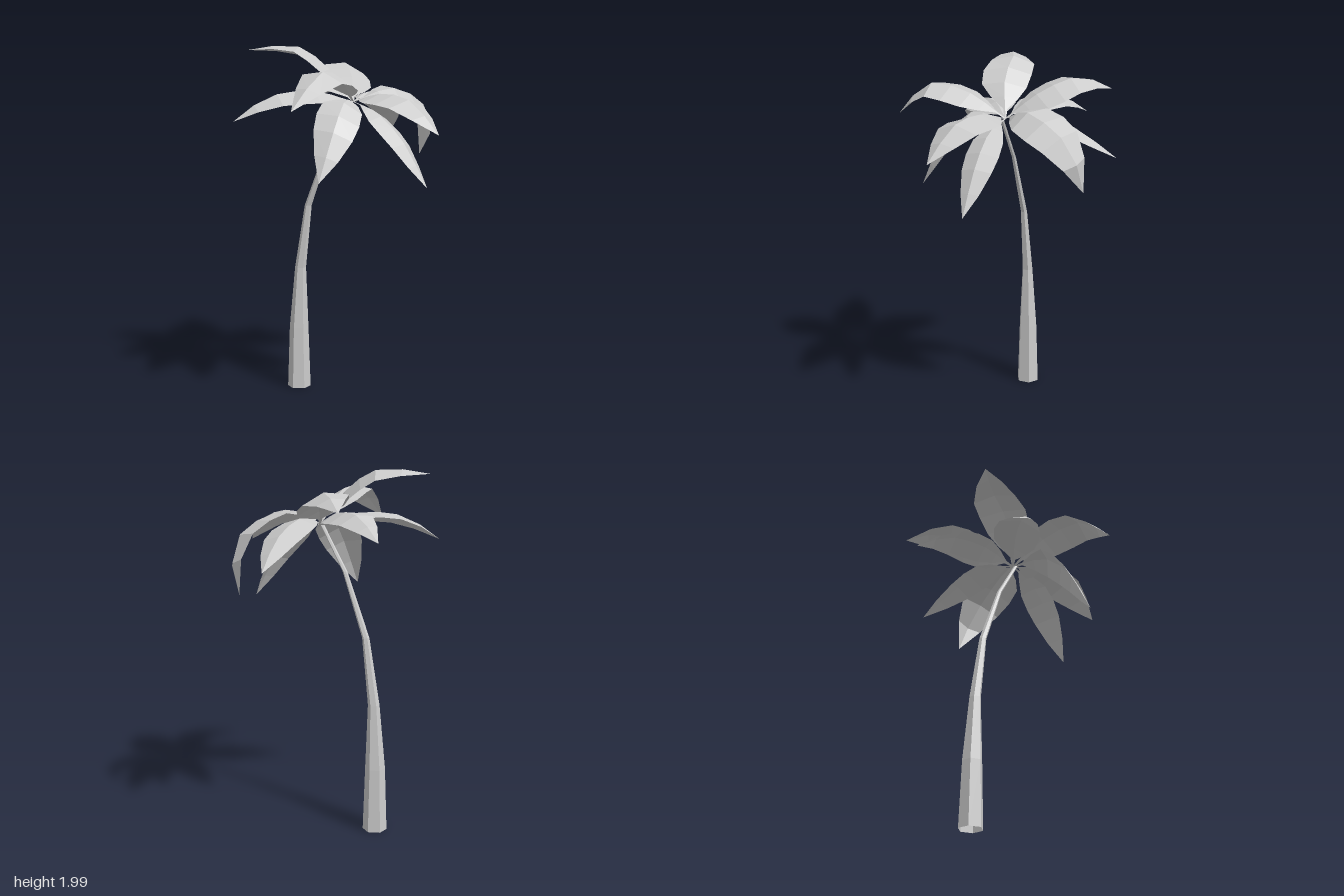
import * as THREE from 'three';

const ROOT = [-0.03, 1.69, -0.02];

// Each frond: two points along the ridge, the tip, half width, roll about its length
const FRONDS = [
  [[-0.04, 1.74, -0.2], [-0.06, 1.66, -0.43], [-0.12, 1.51, -0.635], 0.11, 0],
  [[0.115, 1.76, -0.22], [0.19, 1.61, -0.49], [0.11, 1.36, -0.54], 0.135, -0.45],
  [[0.17, 1.74, 0.03], [0.38, 1.71, 0.08], [0.578, 1.54, 0.13], 0.15, 0],
  [[0.12, 1.64, 0], [0.29, 1.49, 0], [0.445, 1.24, 0], 0.1, 0],
  [[0.01, 1.83, 0.2], [0.04, 1.86, 0.42], [0, 1.67, 0.635], 0.135, 0.18],
  [[-0.2, 1.75, 0.13], [-0.37, 1.72, 0.31], [-0.5, 1.59, 0.46], 0.13, 0.2],
  [[-0.17, 1.89, 0.05], [-0.35, 1.995, 0.08], [-0.58, 1.97, 0.21], 0.135, -0.1],
  [[-0.2, 1.77, -0.1], [-0.4, 1.77, -0.19], [-0.58, 1.66, -0.28], 0.11, -0.2],
  [[-0.14, 1.83, -0.18], [-0.3, 1.9, -0.34], [-0.47, 1.82, -0.47], 0.14, -0.22],
  [[0.03, 1.7, 0.17], [0.06, 1.55, 0.33], [0.05, 1.29, 0.46], 0.12, 0.4],
];

// Outline of a frond: position along the ridge, share of the half width
const OUTLINE = [[0, 0.04], [0.08, 0.08], [0.18, 0.55], [0.3, 0.92], [0.45, 1], [0.6, 0.9], [0.8, 0.55], [1, 0]];
const FOLD = 0.32;

// Trunk rings from the ground up: x, y, radius
const RINGS = [[-0.395, 0, 0.067], [-0.393, 0.36, 0.055], [-0.379, 0.72, 0.032],
  [-0.322, 1.09, 0.02], [-0.182, 1.44, 0.013], [-0.03, 1.68, 0.011]];

function frondGeometry([p1, p2, tip, halfWidth, roll]) {
  const points = [ROOT, p1, p2, tip].map(p => new THREE.Vector3(...p));
  const ridge = new THREE.CatmullRomCurve3(points);
  const chord = points[3].clone().sub(points[0]).normalize();
  const side = chord.clone().cross(new THREE.Vector3(0, 1, 0)).normalize().applyAxisAngle(chord, -roll);
  const positions = [], index = [];
  OUTLINE.forEach(([t, share], i) => {
    const p = ridge.getPointAt(t), w = halfWidth * share;
    const normal = side.clone().cross(ridge.getTangentAt(t)).normalize();
    // left edge, ridge, right edge
    for (const s of [-1, 0, 1]) {
      const v = p.clone().addScaledVector(side, s * w).addScaledVector(normal, -FOLD * w * Math.abs(s));
      positions.push(v.x, v.y, v.z);
    }
    if (i === 0) return;
    for (const k of [0, 1]) {
      const a = (i - 1) * 3 + k, b = a + 1, c = a + 3, d = a + 4;
      index.push(a, b, c);
      if (i < OUTLINE.length - 1) index.push(b, d, c);
    }
  });
  const geometry = new THREE.BufferGeometry();
  geometry.setAttribute('position', new THREE.Float32BufferAttribute(positions, 3));
  geometry.setIndex(index);
  geometry.computeVertexNormals();
  return geometry;
}

// Six-sided open tube bent and tapered along the rings
function trunkGeometry() {
  const n = RINGS.length - 1;
  const geometry = new THREE.CylinderGeometry(1, 1, 1, 6, n, true);
  const pos = geometry.attributes.position;
  for (let i = 0; i < pos.count; i++) {
    const [x, y, r] = RINGS[Math.round((pos.getY(i) + 0.5) * n)];
    pos.setXYZ(i, x + pos.getX(i) * r, y, pos.getZ(i) * r);
  }
  geometry.computeVertexNormals();
  return geometry;
}

export function createModel() {
  const model = new THREE.Group();
  model.name = 'palmTree';

  const material = new THREE.MeshStandardMaterial({ color: 0xcccccc, flatShading: true, side: THREE.DoubleSide });

  const trunk = new THREE.Mesh(trunkGeometry(), material);
  trunk.name = 'trunk';
  model.add(trunk);

  const crown = new THREE.Group();
  crown.name = 'crown';
  FRONDS.forEach((spec, i) => {
    const frond = new THREE.Mesh(frondGeometry(spec), material);
    frond.name = `frond${i + 1}`;
    crown.add(frond);
  });
  model.add(crown);
  return model;
}
